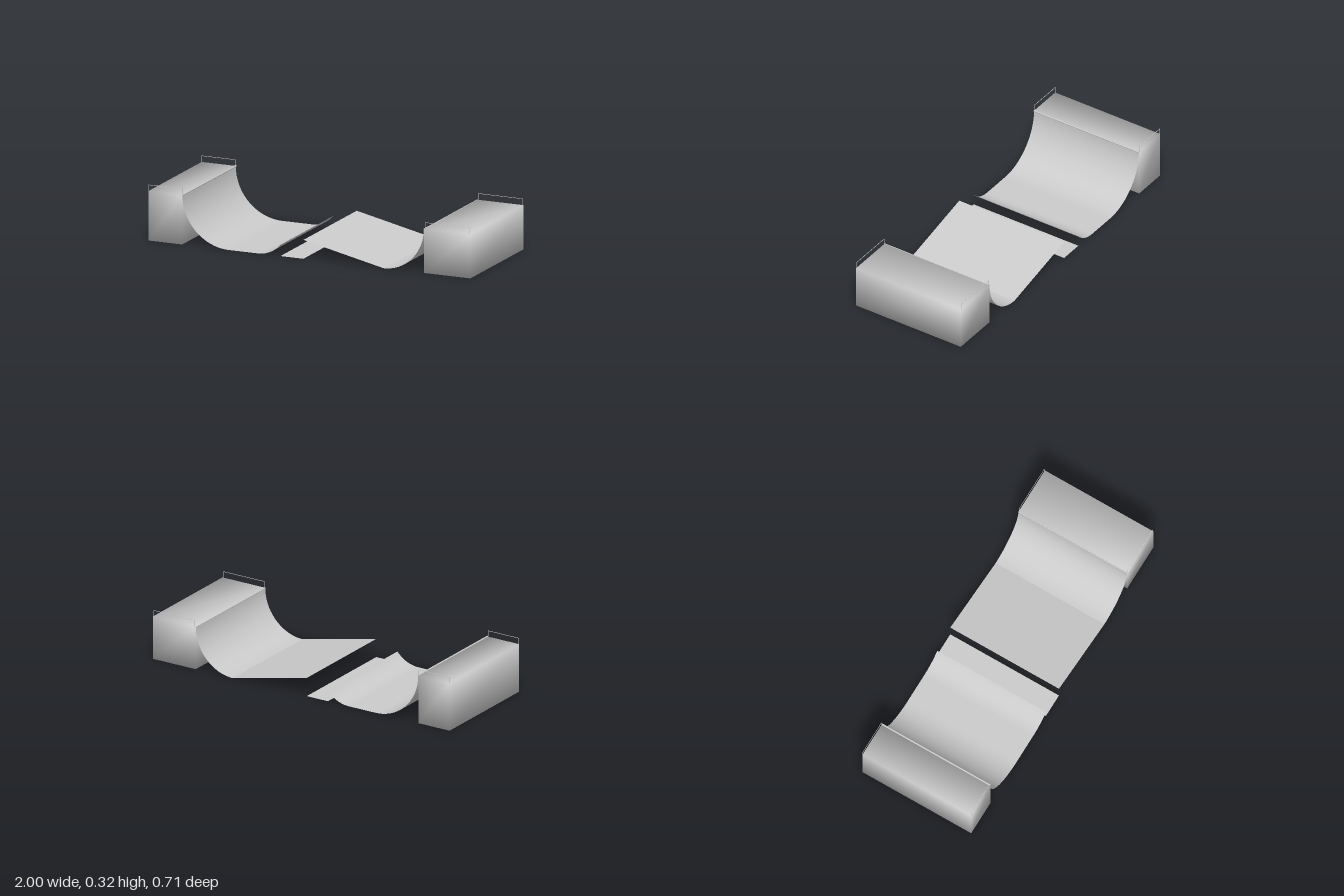
import * as THREE from 'three';
import { mergeVertices } from 'three/addons/utils/BufferGeometryUtils.js';

const DEPTH = 0.714;
const HALF = DEPTH / 2;

export function createModel() {
  const root = new THREE.Group();
  root.name = 'skateRampSet';

  const concrete = new THREE.MeshStandardMaterial({ color: 0xcccccc, side: THREE.DoubleSide });
  concrete.name = 'light grey';

  const add = (name, geometry, parent = root) => {
    const mesh = new THREE.Mesh(geometry, concrete);
    mesh.name = name;
    parent.add(mesh);
    return mesh;
  };

  // Zero-thickness sheet following an x/y profile (left to right) across the full depth
  const sheet = (name, points) => {
    const positions = [], indices = [];
    points.forEach(([x, y], i) => {
      positions.push(x, y, HALF, x, y, -HALF);
      if (i) {
        const a = 2 * i - 2;
        indices.push(a, a + 2, a + 1, a + 1, a + 2, a + 3);
      }
    });
    const g = new THREE.BufferGeometry();
    g.setAttribute('position', new THREE.Float32BufferAttribute(positions, 3));
    g.setIndex(indices);
    g.computeVertexNormals();
    return add(name, g);
  };

  // Arc points around a centre, angles in radians
  const arc = (cx, cy, r, from, to, n = 20) =>
    Array.from({ length: n + 1 }, (_, i) => {
      const t = from + (to - from) * i / n;
      return [cx + r * Math.cos(t), cy + r * Math.sin(t)];
    });

  // Platform block with softly shared corner normals
  const platform = (name, x0, x1, height) => {
    let g = new THREE.BoxGeometry(x1 - x0, height, DEPTH);
    g.deleteAttribute('normal');
    g.deleteAttribute('uv');
    g = mergeVertices(g);
    g.computeVertexNormals();
    g.translate((x0 + x1) / 2, height / 2, 0);
    add(name, g);
  };

  // Hair-thin guard rails at both ends of a platform
  const rails = (name, x0, x1, y0, y1) => {
    const group = new THREE.Group();
    group.name = name;
    root.add(group);
    const t = 0.002;
    for (const z of [HALF - t / 2, -HALF + t / 2]) {
      add('railBar', new THREE.BoxGeometry(x1 - x0, t, t), group)
        .position.set((x0 + x1) / 2, y1 - t / 2, z);
      for (const x of [x0 + t / 2, x1 - t / 2]) {
        add('railPost', new THREE.BoxGeometry(t, y1 - y0, t), group)
          .position.set(x, (y0 + y1) / 2, z);
      }
    }
  };

  // Coping pipe along the lip of a quarter pipe
  const coping = (name, x, y, r) => {
    const pipe = add(name, new THREE.CylinderGeometry(r, r, DEPTH, 10));
    pipe.rotation.x = Math.PI / 2;
    pipe.position.set(x, y, 0);
  };

  // Right-hand side: tall platform and quarter pipe
  platform('tallPlatform', -1, -0.79, 0.288);
  rails('tallPlatformRails', -1, -0.79, 0.288, 0.325);
  coping('tallCoping', -0.787, 0.288, 0.005);
  sheet('tallQuarterPipe', arc(-0.5, 0.288, 0.288, Math.PI, Math.PI * 1.5));

  // Run-up, launch ramp and gap floor
  sheet('runUpFloor', [[-0.5, 0], [-0.32, 0]]);
  const kickR = 0.183;
  sheet('launchRamp', arc(-0.32, kickR, kickR, -Math.PI / 2, -Math.PI / 2 + Math.asin(0.14 / kickR), 12));
  sheet('gapFloor', [[-0.18, 0], [-0.037, 0]]);

  // Landing slope, low quarter pipe and low platform
  sheet('landingRamp', [[-0.037, 0.11], [0.461, 0]]);
  sheet('lowQuarterPipe', arc(0.461, 0.256, 0.25, -Math.PI / 2, 0).map(([x, y]) => [x, (y - 0.006) * 0.256 / 0.25]));
  coping('lowCoping', 0.711, 0.255, 0.003);
  platform('lowPlatform', 0.711, 1, 0.257);
  rails('lowPlatformRails', 0.718, 0.995, 0.257, 0.295);

  return root;
}
